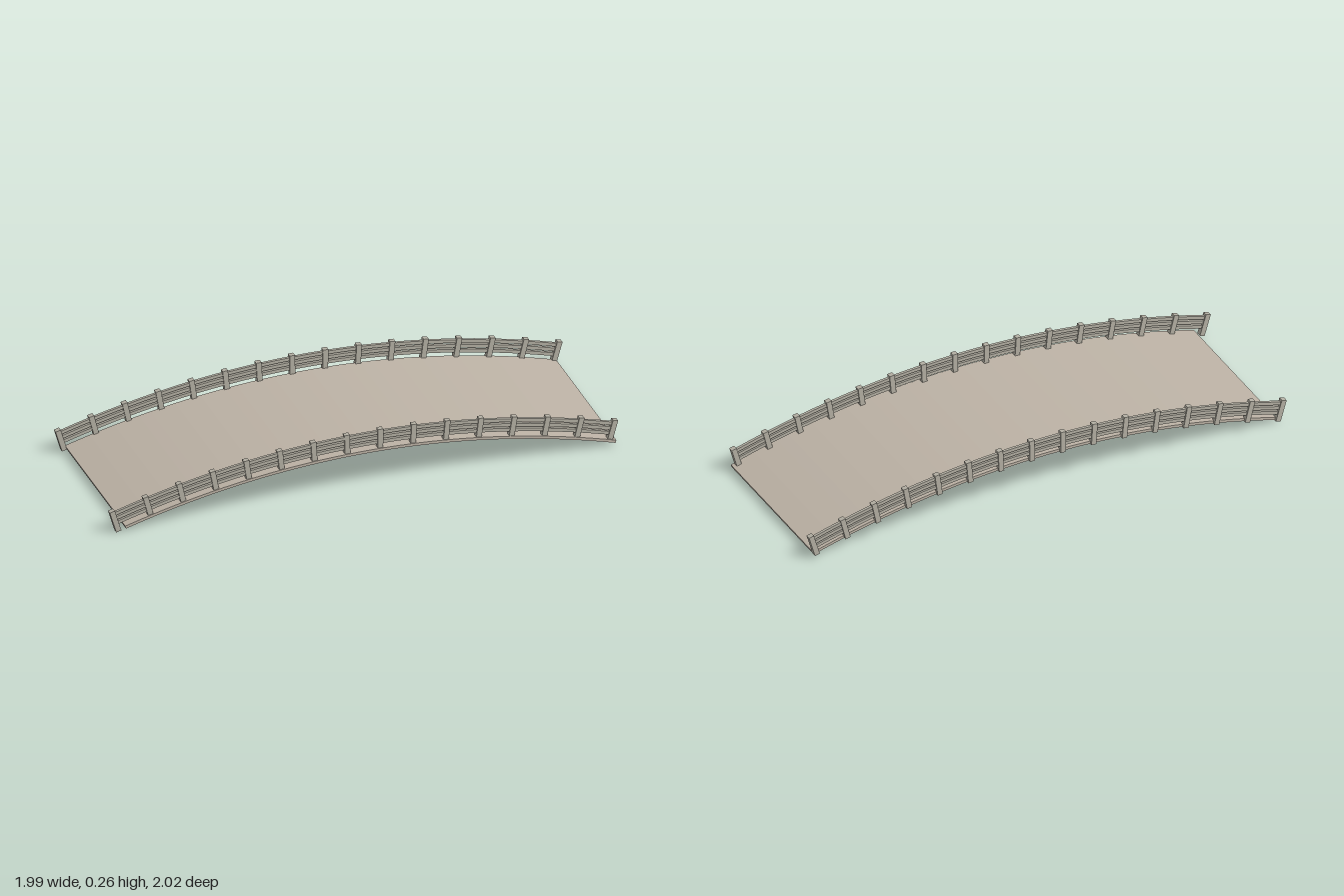
import * as THREE from 'three';

const MID = 0.015;    // centre of the arch along the bridge
const HALF = 1.031;   // half the deck length
const RISE = 0.15;
const BASE = 0.027;   // deck surface height at the ends

// Arch of the deck surface
const archY = s => BASE + RISE * (1 - ((s - MID) / HALF) ** 2);
const slope = s => -2 * RISE * (s - MID) / (HALF * HALF);

// Point at a distance above the arch, measured square to it
function above(s, h) {
  const a = Math.atan(slope(s));
  return new THREE.Vector2(s - Math.sin(a) * h, archY(s) + Math.cos(a) * h);
}

// Curved strip following the arch, between two heights above it
function archStrip(s0, s1, low, high, depth, segments) {
  const pts = [];
  for (let i = 0; i <= segments; i++) pts.push(above(s0 + (s1 - s0) * i / segments, low));
  for (let i = segments; i >= 0; i--) pts.push(above(s0 + (s1 - s0) * i / segments, high));
  const geo = new THREE.ExtrudeGeometry(new THREE.Shape(pts), { depth, bevelEnabled: false });
  return geo.translate(0, 0, -depth / 2);
}

export function createModel() {
  const deckMat = new THREE.MeshStandardMaterial({ name: 'warm stone', color: 0xbcb2a5 });
  const railMat = new THREE.MeshStandardMaterial({ name: 'grey stone', color: 0xb4b0a4 });

  const bridge = new THREE.Group();
  bridge.name = 'bridge';

  // Arched deck
  const deck = new THREE.Mesh(archStrip(MID - HALF, MID + HALF, -0.012, 0, 0.7, 40), deckMat);
  deck.name = 'deck';
  bridge.add(deck);

  // Railing: 16 posts square to the arch, joined by three curved rails
  const POSTS = 16;
  const postGeo = new THREE.BoxGeometry(0.022, 0.096, 0.022);
  function railing(name, s0, s1, z) {
    const group = new THREE.Group();
    group.name = name;
    group.position.z = z;
    for (let i = 0; i < POSTS; i++) {
      const s = s0 + (s1 - s0) * i / (POSTS - 1);
      const p = above(s, 0.035);
      const post = new THREE.Mesh(postGeo, railMat);
      post.name = 'post';
      post.position.set(p.x, p.y, 0);
      post.rotation.z = Math.atan(slope(s));
      group.add(post);
    }
    for (const h of [0.024, 0.045, 0.066]) {
      const rail = new THREE.Mesh(archStrip(s0, s1, h - 0.007, h + 0.007, 0.012, POSTS * 2 - 2), railMat);
      rail.name = 'rail';
      group.add(rail);
    }
    bridge.add(group);
  }
  railing('frontRailing', -1.045, 1.022, 0.335);
  railing('backRailing', -1.025, 1.036, -0.35);

  // The bridge runs diagonally
  bridge.rotation.y = Math.PI / 4;
  const model = new THREE.Group();
  model.name = 'archedFootbridge';
  model.add(bridge);
  return model;
}
